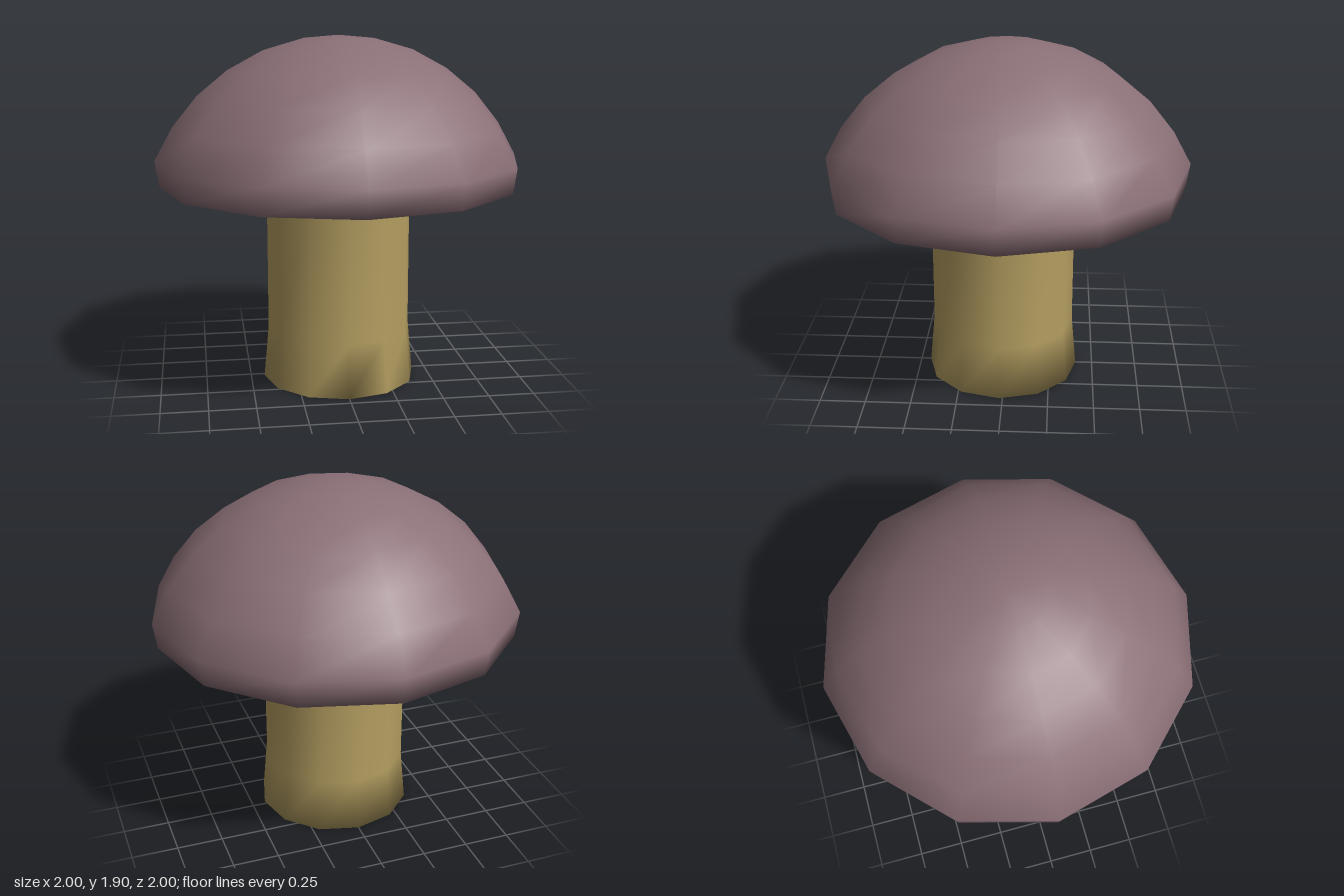
import * as THREE from 'three';

const SIDES = 12;

// Smooth solid of revolution: rings of [radius, y] from bottom to top, a flat
// bottom face sharing the first ring, and an optional apex height.
function roundSolid(rings, apexY) {
  const pos = [], index = [];
  for (const [r, y] of rings) {
    for (let i = 0; i < SIDES; i++) {
      const a = (i / SIDES) * Math.PI * 2;
      pos.push(r * Math.sin(a), y, r * Math.cos(a));
    }
  }
  for (let k = 0; k < rings.length - 1; k++) {
    for (let i = 0; i < SIDES; i++) {
      const j = (i + 1) % SIDES;
      const a = k * SIDES + i, b = k * SIDES + j;
      index.push(a, b, b + SIDES, a, b + SIDES, a + SIDES);
    }
  }
  // flat bottom
  for (let i = 1; i < SIDES - 1; i++) index.push(0, i + 1, i);
  // top: fan to the apex, or a flat face
  const top = (rings.length - 1) * SIDES;
  if (apexY !== undefined) {
    const apex = pos.length / 3;
    pos.push(0, apexY, 0);
    for (let i = 0; i < SIDES; i++) index.push(top + i, top + ((i + 1) % SIDES), apex);
  }
  const geo = new THREE.BufferGeometry();
  geo.setAttribute('position', new THREE.Float32BufferAttribute(pos, 3));
  geo.setIndex(index);
  geo.computeVertexNormals();
  return geo;
}

function part(name, geo, color) {
  const mesh = new THREE.Mesh(geo, new THREE.MeshStandardMaterial({ color }));
  mesh.name = name;
  return mesh;
}

export function createModel() {
  const group = new THREE.Group();
  group.name = 'mushroom';

  // domed cap with a short inward-turned rim and flat underside
  const cap = part('cap', roundSolid([
    [0.98, 1.1], [1, 1.24], [0.9, 1.42], [0.765, 1.587],
    [0.6, 1.722], [0.41, 1.825], [0.2, 1.886],
  ], 1.905), 0x8a6f76);

  // stem, flared at the foot and set slightly forward
  const stem = part('stem', roundSolid([
    [0.425, 0], [0.398, 0.29], [0.398, 1.1],
  ]), 0xb39d60);
  stem.position.z = 0.02;

  group.add(cap, stem);
  return group;
}
